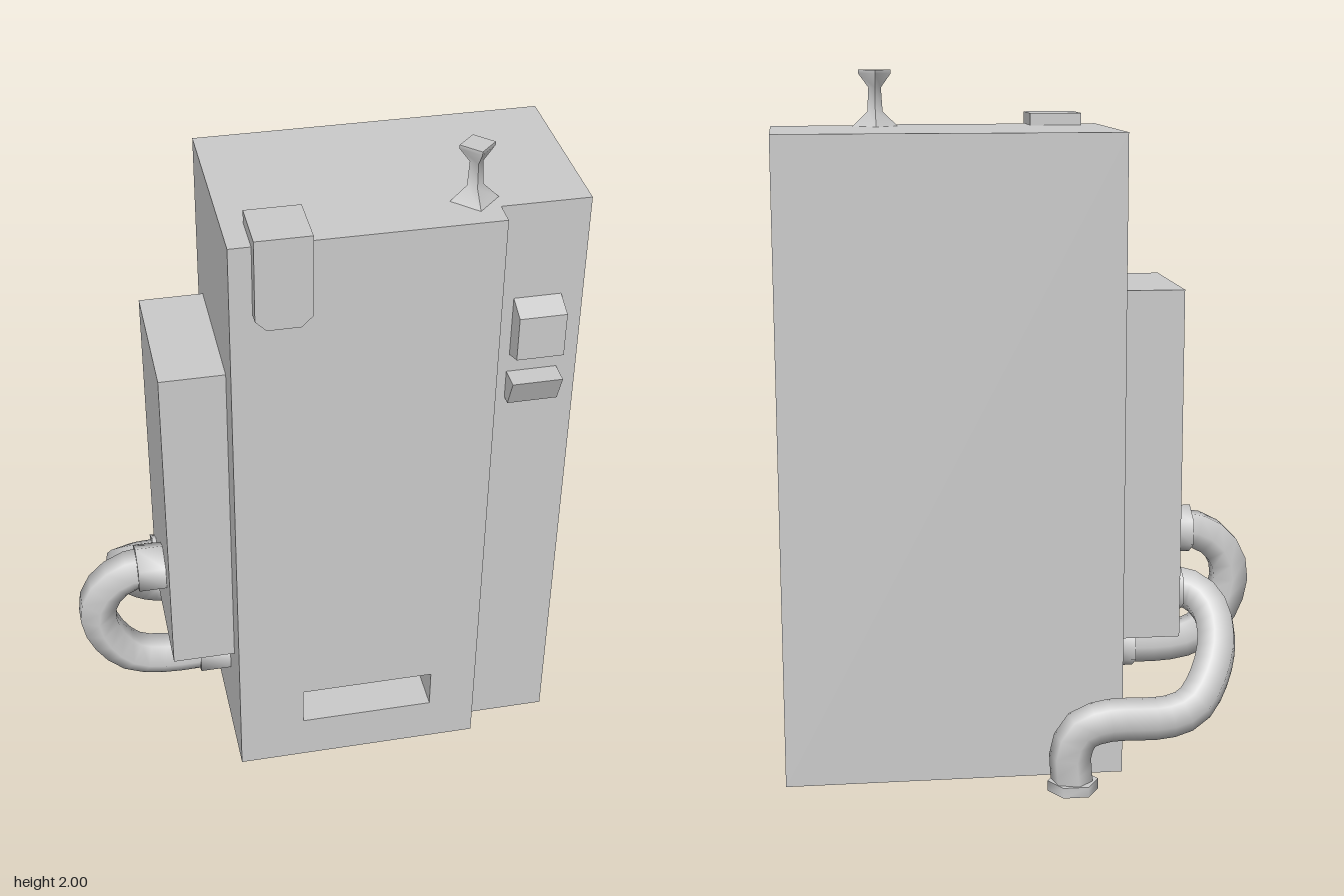
import * as THREE from 'three';
import { toCreasedNormals } from 'three/addons/utils/BufferGeometryUtils.js';

const grey = new THREE.MeshStandardMaterial({ color: 0xcccccc });

export function createModel() {
  const model = new THREE.Group();
  const add = (name, geometry) => {
    const mesh = new THREE.Mesh(geometry, grey);
    mesh.name = name;
    model.add(mesh);
    return mesh;
  };

  // Box given by its minimum and maximum on each axis
  const box = (name, [x0, x1], [y0, y1], [z0, z1]) =>
    add(name, new THREE.BoxGeometry(x1 - x0, y1 - y0, z1 - z0)
      .translate((x0 + x1) / 2, (y0 + y1) / 2, (z0 + z1) / 2));

  const outline = (pts) => new THREE.Shape(pts.map(([x, y]) => new THREE.Vector2(x, y)));
  const extrude = (shape, depth) => new THREE.ExtrudeGeometry(shape, { depth, bevelEnabled: false });
  const rect = (x0, x1, y0, y1) => [[x0, y0], [x1, y0], [x1, y1], [x0, y1]];

  // Cabinet: rear block, front door with a tray slot, set-back control column
  box('cabinetBody', [-0.26, 0.7], [0.02, 1.84], [-0.24, 0.2]);
  box('controlColumn', [0.457, 0.7], [0.02, 1.84], [0.2, 0.27]);
  const door = outline(rect(-0.26, 0.457, 0.02, 1.84));
  door.holes.push(outline(rect(-0.07, 0.32, 0.16, 0.28).reverse()));
  add('frontDoor', extrude(door, 0.14).translate(0, 0, 0.2));

  // Side unit that the hoses plug into
  box('sideUnit', [-0.44, -0.26], [0.39, 1.4], [-0.15, 0.25]);

  // Clip hooked over the top front edge
  add('clipPlate', extrude(outline([
    [-0.2, 1.64], [-0.17, 1.61], [-0.08, 1.61], [-0.05, 1.64], [-0.05, 1.875], [-0.2, 1.875],
  ]), 0.035).translate(0, 0, 0.34));
  box('clipTop', [-0.2, -0.05], [1.84, 1.875], [0.22, 0.34]);

  // Controls: side profile in (z, y), extruded across x
  const control = (name, pts, x0, x1) =>
    add(name, extrude(outline(pts), x1 - x0).rotateY(-Math.PI / 2).translate(x1, 0, 0));
  control('upperControl', [[0.27, 1.375], [0.335, 1.4], [0.335, 1.53], [0.27, 1.555]], 0.51, 0.64);
  control('lowerControl', [[0.27, 1.235], [0.3, 1.235], [0.335, 1.32], [0.27, 1.32]], 0.505, 0.645);

  // Four-sided handle on the roof
  const handle = [[0, 1.835], [0.07, 1.835], [0.022, 1.882], [0.018, 1.95], [0.047, 1.99], [0.047, 2], [0, 2]];
  add('topHandle', toCreasedNormals(
    new THREE.LatheGeometry(handle.map(([r, y]) => new THREE.Vector2(r, y)), 4), 0.9,
  ).translate(0.4, 0, 0.22));

  // Hexagonal hoses and their collars
  const hose = (pts, steps) => new THREE.TubeGeometry(
    new THREE.CatmullRomCurve3(pts.map((p) => new THREE.Vector3(...p))), steps, 0.06, 6);
  const collar = (name, length, x, y, z, alongX = true) => {
    const geo = new THREE.CylinderGeometry(0.072, 0.072, length, 6).rotateY(Math.PI / 6);
    if (alongX) geo.rotateZ(Math.PI / 2);
    add(name, toCreasedNormals(geo, 1.2).translate(x, y, z));
  };

  // Side hose is laid out flat, then stood upright
  const sidePath = [
    [-0.44, 0.645], [-0.52, 0.645], [-0.585, 0.615], [-0.63, 0.56], [-0.643, 0.49],
    [-0.615, 0.4], [-0.55, 0.322], [-0.46, 0.295], [-0.26, 0.295],
  ].map(([x, y]) => [x, 0, y]);
  add('sideHose', hose(sidePath, 16).rotateX(-Math.PI / 2).translate(0, 0, 0.107));
  collar('sideHoseUpperCollar', 0.08, -0.48, 0.645, 0.107);
  collar('sideHoseLowerCollar', 0.09, -0.305, 0.293, 0.107);

  // Rear hose wraps behind the cabinet and drops to the floor
  add('rearHose', hose([
    [-0.44, 0.52, -0.075], [-0.495, 0.505, -0.09], [-0.535, 0.46, -0.135], [-0.54, 0.385, -0.195],
    [-0.505, 0.295, -0.255], [-0.45, 0.23, -0.295], [-0.38, 0.205, -0.307], [-0.2, 0.2, -0.307],
    [-0.13, 0.175, -0.307], [-0.1, 0.115, -0.307], [-0.105, 0.015, -0.307],
  ], 22));
  collar('rearHoseUpperCollar', 0.03, -0.438, 0.52, -0.078);
  collar('rearHoseFloorCollar', 0.03, -0.107, 0.015, -0.307, false);

  return model;
}
